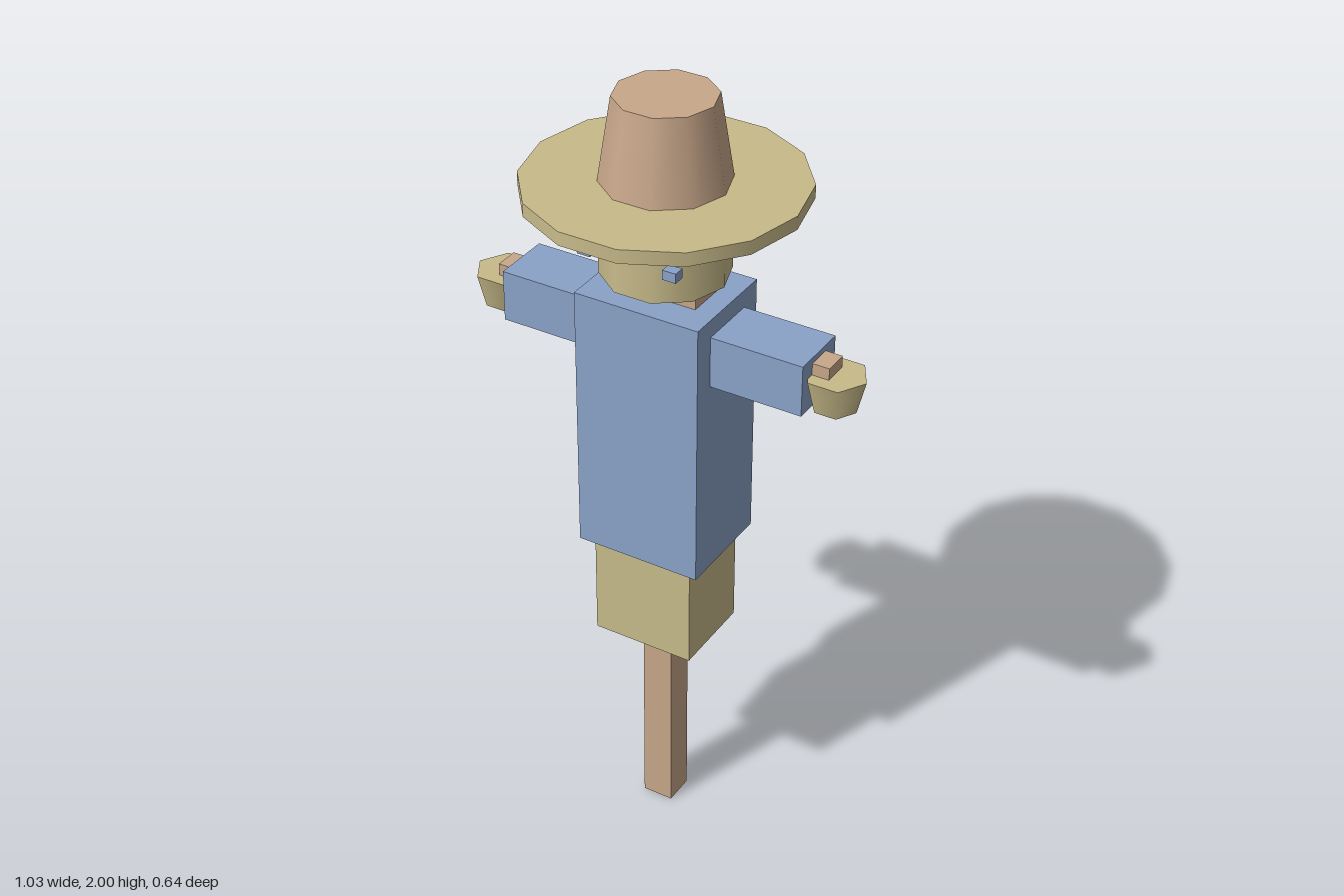
import * as THREE from 'three';

export function createModel() {
  const model = new THREE.Group();
  model.name = 'scarecrow';

  const paint = (name, color) => {
    const m = new THREE.MeshStandardMaterial({ color });
    m.name = name;
    return m;
  };
  const straw = paint('straw', 0xc8bb8a);
  const cloth = paint('blue cloth', 0x8aa2c8);
  const wood = paint('wood brown', 0xc8a78a);

  const add = (name, geometry, material, x, y, z = 0) => {
    const mesh = new THREE.Mesh(geometry, material);
    mesh.name = name;
    mesh.position.set(x, y, z);
    model.add(mesh);
    return mesh;
  };
  // Box given by its width, depth and the heights of its bottom and top
  const box = (name, material, w, d, y0, y1, x = 0, z = 0) =>
    add(name, new THREE.BoxGeometry(w, y1 - y0, d), material, x, (y0 + y1) / 2, z);
  // Round part with a corner on the x axis
  const round = (name, material, rTop, rBottom, y0, y1, sides, x = 0, open = false) =>
    add(name, new THREE.CylinderGeometry(rTop, rBottom, y1 - y0, sides, 1, open, Math.PI / 2),
      material, x, (y0 + y1) / 2);

  // Post, trousers and shirt
  box('post', wood, 0.08, 0.08, 0, 0.6);
  box('trousers', straw, 0.264, 0.22, 0.555, 0.84);
  box('shirt', cloth, 0.324, 0.264, 0.83, 1.52);
  box('neck', wood, 0.22, 0.11, 1.5, 1.55);

  // Crossbar, sleeves and straw hands
  box('crossbar', wood, 0.876, 0.062, 1.4, 1.46);
  for (const side of [-1, 1]) {
    box('sleeve', cloth, 0.255, 0.152, 1.345, 1.475, side * 0.268);
    round('hand', straw, 0.075, 0.054, 1.345, 1.43, 6, side * 0.44);
  }

  // Head with a shallow cone underneath
  round('head', straw, 0.152, 0.152, 1.563, 1.78, 10, 0, true);
  round('chin', straw, 0.152, 0.001, 1.518, 1.563, 10, 0, true);
  for (const side of [-1, 1]) {
    box('eye', cloth, 0.034, 0.028, 1.651, 1.675, side * 0.11, 0.155);
  }

  // Hat
  round('hatBrim', straw, 0.33, 0.33, 1.762, 1.796, 14);
  round('hatCrown', wood, 0.12, 0.152, 1.796, 2, 10);

  return model;
}
